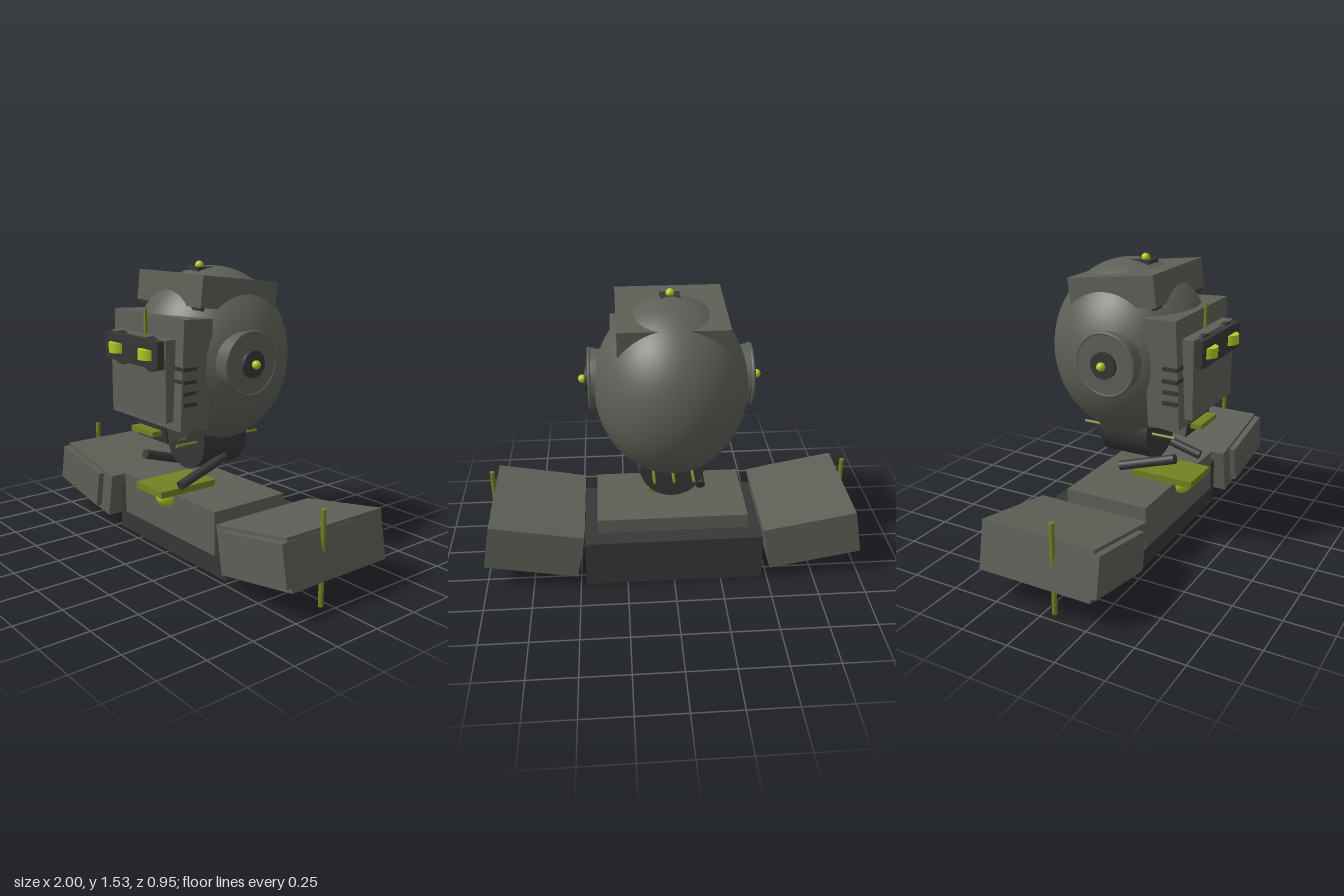
import * as THREE from 'three';

const mat = (name, color) => {
  const m = new THREE.MeshStandardMaterial({ color });
  m.name = name;
  return m;
};

export function createModel() {
  const grey = mat('armour grey', 0x5d6057);
  const dark = mat('dark frame', 0x373737);
  const lime = mat('bright lime', 0xb2cb22);
  const olive = mat('olive accent', 0x748123);

  const model = new THREE.Group();
  model.name = 'hoveringRobot';

  const add = (name, geometry, material, [x, y, z], parent = model) => {
    const m = new THREE.Mesh(geometry, material);
    m.name = name;
    m.position.set(x, y, z);
    parent.add(m);
    return m;
  };
  const box = (name, w, h, d, material, pos, parent) =>
    add(name, new THREE.BoxGeometry(w, h, d), material, pos, parent);
  const ball = (name, r, material, pos) =>
    add(name, new THREE.SphereGeometry(r, 20, 14), material, pos);
  // cylinder between two points
  const rod = (name, r, material, a, b, sides = 16) => {
    const p = new THREE.Vector3(...a), q = new THREE.Vector3(...b);
    const dir = q.clone().sub(p);
    const mid = p.clone().add(q).multiplyScalar(0.5);
    const m = add(name, new THREE.CylinderGeometry(r, r, dir.length(), sides), material, mid.toArray());
    m.quaternion.setFromUnitVectors(new THREE.Vector3(0, 1, 0), dir.normalize());
    return m;
  };

  // Head shell
  add('head', new THREE.SphereGeometry(1, 64, 40), grey, [0, 1.04, -0.06]).scale.set(0.39, 0.46, 0.415);

  // Tilted helmet block, trim and crest
  box('helmet', 0.54, 0.155, 0.48, grey, [0, 1.373, -0.031]).rotation.x = -0.12;
  box('helmetTrim', 0.52, 0.03, 0.02, dark, [0, 1.322, 0.195]).rotation.x = -0.12;
  box('crestMount', 0.1, 0.04, 0.1, dark, [0, 1.477, 0.01]);
  ball('crestLight', 0.022, lime, [0, 1.505, 0.015]);

  // Face block and front plate
  box('faceBlock', 0.6, 0.54, 0.17, grey, [0, 1.008, 0.2625]).rotation.x = -0.047;
  box('facePlate', 0.475, 0.4, 0.1, grey, [0, 0.982, 0.35]);
  box('foreheadFin', 0.014, 0.14, 0.012, olive, [0, 1.24, 0.35]);

  // Visor and eyes
  box('visor', 0.455, 0.135, 0.06, dark, [0, 1.11, 0.41]);
  for (const s of [-1, 1]) {
    rod('eyeSocket', 0.085, dark, [s * 0.13, 1.105, 0.39], [s * 0.13, 1.105, 0.414], 32);
    rod('eye', 0.055, lime, [s * 0.13, 1.083, 0.42], [s * 0.13, 1.133, 0.42], 24);
  }

  // Jaw, mouth and the thin rods under the head
  const jaw = box('jaw', 0.26, 0.12, 0.13, grey, [0, 0.71, 0.255]);
  jaw.rotation.x = 0.16;
  box('jawPlate', 0.26, 0.12, 0.008, dark, [0, 0, 0.067], jaw);
  box('mouth', 0.19, 0.025, 0.08, olive, [0, 0.691, 0.343]);
  for (const x of [-0.1, 0, 0.1]) {
    rod('neckRod', 0.008, olive, [x, 0.607, 0.24], [x, 0.607, -0.3], 8);
  }

  // Neck drum
  rod('neck', 0.165, dark, [0, 0.61, 0.11], [0, 0.61, -0.17], 40);

  // Opposed slanting neck struts
  rod('leftStrut', 0.025, dark, [0.163, 0.42, 0.265], [0.142, 0.515, -0.045]);
  rod('rightStrut', 0.025, dark, [-0.145, 0.515, 0.265], [-0.163, 0.42, -0.045]);

  // Torso
  box('torsoFrame', 0.94, 0.26, 0.545, dark, [0, 0.13, -0.055]);
  box('torsoArmour', 0.8, 0.23, 0.46, grey, [0, 0.225, 0]);
  box('collarPlate', 0.23, 0.035, 0.345, olive, [0, 0.37, 0.1725]);
  ball('chestLight', 0.062, lime, [0, 0.32, 0.23]);

  for (const s of [-1, 1]) {
    // Side vents
    for (const y of [1.046, 0.985, 0.93, 0.875]) {
      box('sideVent', 0.075, 0.018, 0.076, dark, [s * 0.278, y, 0.312]);
    }

    // Ear discs
    const disc = (name, r, x0, x1, material) =>
      rod(name, r, material, [s * x0, 1.055, 0.016], [s * x1, 1.055, 0.016], 40);
    disc('earBase', 0.152, 0.3, 0.395, grey);
    disc('earDisc', 0.158, 0.385, 0.417, grey);
    const ring = add('earRing', new THREE.TorusGeometry(0.155, 0.009, 10, 40), grey, [s * 0.411, 1.055, 0.016]);
    ring.rotation.y = Math.PI / 2;
    disc('earHub', 0.067, 0.4, 0.436, dark);
    ball('earLight', 0.022, lime, [s * 0.449, 1.055, 0.016]);

    // Raised shoulder blocks with outer armour
    const shoulder = new THREE.Group();
    shoulder.name = s > 0 ? 'leftShoulder' : 'rightShoulder';
    shoulder.position.set(s * 0.734, 0.23, 0);
    shoulder.rotation.z = s * 0.18;
    model.add(shoulder);
    box('shoulderBlock', 0.495, 0.25, 0.615, grey, [0, 0, -0.032], shoulder);
    box('shoulderArmour', 0.41, 0.205, 0.49, grey, [s * 0.046, 0.004, 0.063], shoulder);

    // Upright antenna through the shoulder
    rod('shoulderAntenna', 0.013, olive, [s * 0.968, 0.015, 0.063], [s * 0.968, 0.485, 0.063], 12);
  }

  return model;
}
